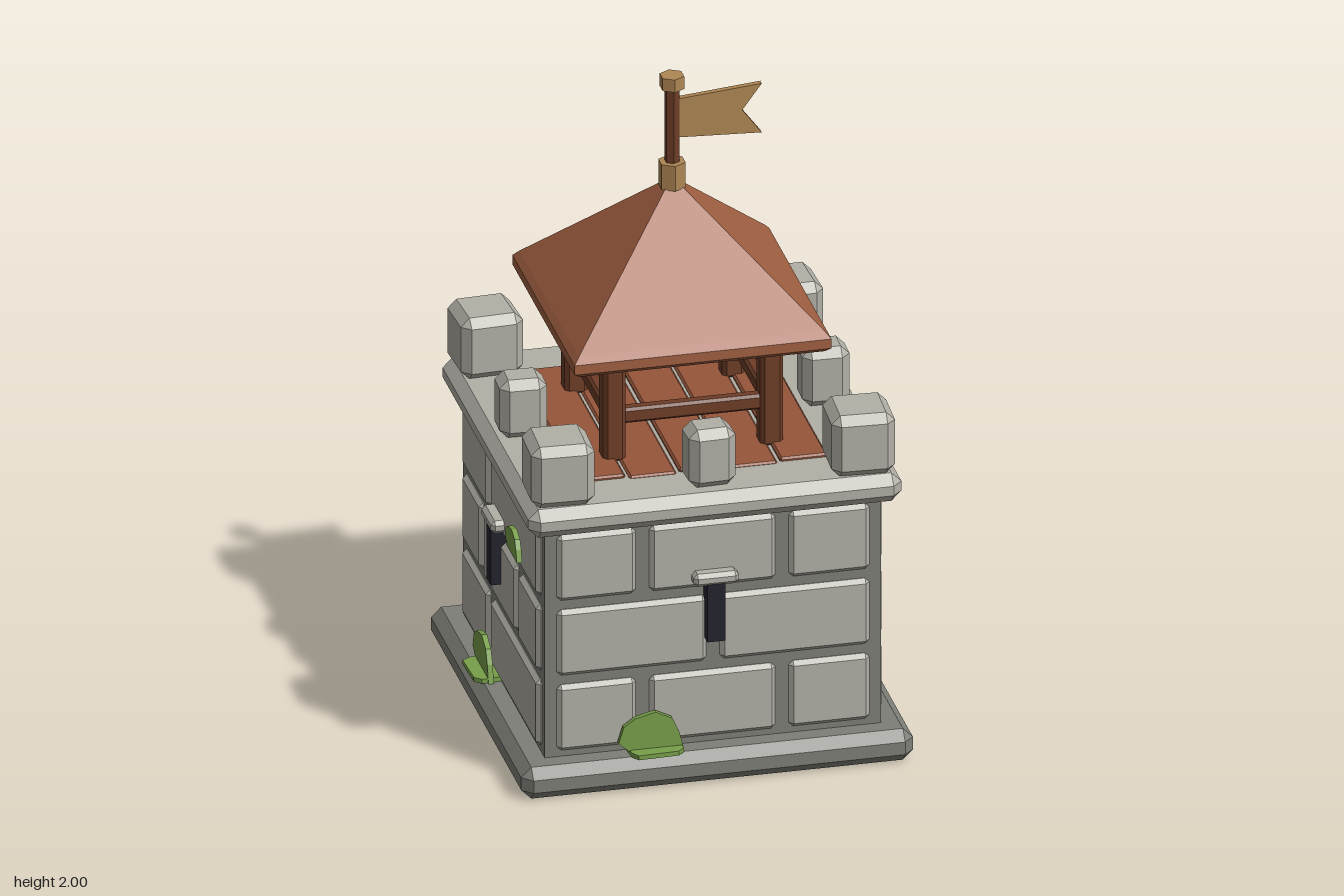
import * as THREE from 'three';
import { ConvexGeometry } from 'three/addons/geometries/ConvexGeometry.js';

const mat = (name, color) => {
  const m = new THREE.MeshStandardMaterial({ color });
  m.name = name;
  return m;
};

export function createModel() {
  const model = new THREE.Group();
  model.name = 'watchtower';

  const stone = mat('light stone', 0xb2b0a7);
  const mortar = mat('dark stone', 0x7f7f79);
  const tile = mat('roof terracotta', 0xa05f41);
  const timber = mat('dark timber', 0x6e3d27);
  const plank = mat('plank wood', 0x96553a);
  const iron = mat('dark iron', 0x23232f);
  const brass = mat('brass', 0xae8653);
  const moss = mat('moss', 0x789f4a);

  const add = (parent, name, geometry, material, x = 0, y = 0, z = 0) => {
    const mesh = new THREE.Mesh(geometry, material);
    mesh.name = name;
    mesh.position.set(x, y, z);
    parent.add(mesh);
    return mesh;
  };
  const group = (name, parent = model) => {
    const g = new THREE.Group();
    g.name = name;
    parent.add(g);
    return g;
  };

  // Box with all edges cut at an angle, flat faces
  const chamferBox = (w, h, d, b) => {
    const pts = [];
    for (const i of [-1, 1]) for (const j of [-1, 1]) for (const k of [-1, 1]) {
      const x = w / 2, y = h / 2, z = d / 2;
      pts.push(new THREE.Vector3(i * x, j * (y - b), k * (z - b)));
      pts.push(new THREE.Vector3(i * (x - b), j * y, k * (z - b)));
      pts.push(new THREE.Vector3(i * (x - b), j * (y - b), k * z));
    }
    return new ConvexGeometry(pts);
  };
  // Six-sided prism with flat faces
  const hexPrism = (r, h) => new THREE.CylinderGeometry(r, r, h, 6).toNonIndexed();
  const hex = (parent, name, r, h, material, x, y, z) => {
    const g = hexPrism(r, h);
    g.computeVertexNormals();
    return add(parent, name, g, material, x, y, z);
  };
  const polygon = (pts) => new THREE.Shape(pts.map(([x, y]) => new THREE.Vector2(x, y)));
  const slab = (shape, depth) => new THREE.ExtrudeGeometry(shape, { depth, bevelEnabled: false, curveSegments: 10 });

  // Plinth, tower body and parapet ledge
  add(model, 'plinth', chamferBox(1.165, 0.1, 1.165, 0.03), mortar, 0, 0.05, 0);
  add(model, 'towerBody', new THREE.BoxGeometry(1, 0.75, 0.76), mortar, 0, 0.465, 0.12);
  add(model, 'parapetLedge', chamferBox(1.11, 0.09, 1.11, 0.03), stone, 0, 0.865, 0);

  // Rear wall with an arched doorway
  const wall = polygon([[-0.5, 0.09], [-0.2, 0.09], [-0.2, 0.52]]);
  wall.absarc(0, 0.52, 0.2, Math.PI, 0, true);
  for (const [x, y] of [[0.2, 0.09], [0.5, 0.09], [0.5, 0.84], [-0.5, 0.84]]) wall.lineTo(x, y);
  add(model, 'doorwayWall', slab(wall, 0.24), mortar, 0, 0, -0.5);

  // Wall faces: each is a group facing local +z
  const rowY = [0.225, 0.465, 0.705];
  const twoWide = [[-0.46, -0.15], [-0.11, 0.465]];
  const sideRows = [twoWide, [[-0.46, -0.235], [-0.195, 0.19], [0.23, 0.465]], twoWide];
  const threeWide = [[-0.465, -0.23], [-0.19, 0.185], [0.225, 0.465]];
  const frontRows = [threeWide, [[-0.465, -0.02], [0.02, 0.465]], threeWide];
  const backRows = [[[-0.465, -0.33], [0.33, 0.465]], [[-0.465, -0.33], [0.33, 0.465]], [[-0.465, -0.29], [0.29, 0.465]]];

  const mossShape = [[-0.1, 0.04], [-0.085, 0.09], [-0.05, 0.115], [0.01, 0.13], [0.06, 0.105], [0.08, 0.06], [0.095, 0], [-0.055, 0]];
  const addMoss = (face, x, y, sx, sy, onPlinth = true) => {
    const patch = add(face, 'mossPatch', slab(polygon(mossShape), 0.016), moss, x, y, 0.526);
    patch.scale.set(sx, sy, 1);
    if (!onPlinth) return;
    const mat2 = polygon([[-0.07, 0], [0.085, 0], [0.09, 0.06], [0.07, 0.08], [-0.05, 0.084], [-0.065, 0.06]]);
    const g = slab(mat2, 0.014).rotateX(Math.PI / 2);
    const carpet = add(face, 'mossCarpet', g, moss, x, 0.116, 0.5);
    carpet.scale.x = sx;
  };

  const faces = {};
  for (const [name, turn, rows] of [['frontWall', 0, frontRows], ['leftWall', 1, sideRows], ['backWall', 2, backRows], ['rightWall', 3, sideRows]]) {
    const face = faces[name] = group(name);
    face.rotation.y = turn * Math.PI / 2;
    rows.forEach((row, r) => row.forEach(([a, b]) =>
      add(face, 'stoneBlock', chamferBox(b - a, 0.21, 0.04, 0.013), stone, (a + b) / 2, rowY[r], 0.495)));
    if (name === 'backWall') continue;
    // Arrow slit with a stone lintel
    add(face, 'arrowSlit', new THREE.BoxGeometry(0.054, 0.185, 0.05), iron, 0, 0.53, 0.52);
    add(face, 'slitLintel', chamferBox(0.135, 0.04, 0.06, 0.012), stone, 0, 0.637, 0.523);
  }
  addMoss(faces.frontWall, -0.19, 0.1, 1, 1);
  addMoss(faces.leftWall, 0.18, 0.1, 1, 0.92);
  addMoss(faces.rightWall, -0.11, 0.1, 1, 0.92);
  addMoss(faces.rightWall, 0.26, 0.65, 0.75, 0.6, false);
  addMoss(faces.backWall, 0.4, 0.1, 0.75, 0.8);

  // Doorway: jambs, arch stones, step and door
  const doorway = group('doorway', faces.backWall);
  for (const s of [-1, 1]) add(doorway, 'doorJamb', chamferBox(0.1, 0.42, 0.1, 0.015), stone, s * 0.26, 0.31, 0.503);
  for (let i = 0; i < 5; i++) {
    const a = Math.PI * (0.1 + i * 0.2);
    const v = add(doorway, 'archStone', chamferBox(0.085, 0.125, 0.1, 0.015), stone, 0.235 * Math.cos(a), 0.52 + 0.235 * Math.sin(a), 0.503);
    v.rotation.z = a;
  }
  add(doorway, 'doorStep', chamferBox(0.42, 0.085, 0.3, 0.018), stone, 0, 0.128, 0.395);
  for (let i = 0; i < 4; i++) {
    const x = -0.15 + i * 0.1;
    const h = Math.abs(x) > 0.1 ? 0.5 : 0.59;
    add(doorway, 'doorPlank', chamferBox(0.094, h, 0.03, 0.008), plank, x, 0.11 + h / 2, 0.27);
  }
  for (const y of [0.28, 0.48]) add(doorway, 'doorBand', new THREE.BoxGeometry(0.38, 0.035, 0.02), iron, 0, y, 0.287);
  // Brass plaque above the arch
  const plaque = hexPrism(0.072, 0.03).rotateY(Math.PI / 6).rotateX(Math.PI / 2);
  plaque.computeVertexNormals();
  add(doorway, 'plaque', plaque, brass, 0, 0.863, 0.573);

  // Battlements, each turned slightly
  const battlements = group('battlements');
  const tilt = [0.05, -0.04, 0.03, -0.05];
  let n = 0;
  for (const sx of [-1, 1]) for (const sz of [-1, 1]) {
    const m = add(battlements, 'cornerMerlon', chamferBox(0.187, 0.195, 0.187, 0.026), stone, sx * 0.447, 1.005, sz * 0.447);
    m.rotation.y = tilt[n++];
  }
  for (let i = 0; i < 4; i++) {
    const a = i * Math.PI / 2;
    const m = add(battlements, 'middleMerlon', chamferBox(0.14, 0.185, 0.122, 0.026), stone, 0.45 * Math.sin(a), 1, 0.45 * Math.cos(a));
    m.rotation.y = (i % 2 ? 0 : a) + tilt[i] * 0.8;
  }

  // Plank deck
  const deck = group('deck');
  for (let i = 0; i < 5; i++) {
    const len = 0.755 + (i % 2) * 0.02;
    add(deck, 'deckPlank', chamferBox(0.14, 0.03, len, 0.006), plank, -0.3 + i * 0.15, 0.902 + (i % 2 ? 0 : 0.004), 0);
  }

  // Timber frame carrying the roof
  const frame = group('roofFrame');
  for (const sx of [-1, 1]) {
    for (const sz of [-1, 1]) add(frame, 'post', chamferBox(0.068, 0.36, 0.068, 0.012), timber, sx * 0.234, 1.085, sz * 0.234);
    add(frame, 'sideRail', chamferBox(0.04, 0.048, 0.43, 0.008), timber, sx * 0.234, 1.045, 0);
    add(frame, 'crossRail', chamferBox(0.43, 0.048, 0.04, 0.008), timber, 0, 1.045, sx * 0.234);
  }

  // Pyramid roof with a chamfered eave
  const roofPts = [];
  for (const [h, y] of [[0.365, 1.243], [0.382, 1.258], [0.382, 1.288], [0.366, 1.307], [0.015, 1.66]])
    for (const sx of [-1, 1]) for (const sz of [-1, 1]) roofPts.push(new THREE.Vector3(sx * h, y, sz * h));
  add(model, 'roof', new ConvexGeometry(roofPts), tile);

  // Flagpole and swallow-tailed flag
  const flagpole = group('flagpole');
  hex(flagpole, 'pole', 0.022, 0.32, timber, 0, 1.82, 0);
  hex(flagpole, 'poleSocket', 0.041, 0.08, brass, 0, 1.685, 0);
  hex(flagpole, 'poleCap', 0.037, 0.04, brass, 0, 1.98, 0);
  const flag = polygon([[0.015, 1.802], [0.265, 1.79], [0.207, 1.868], [0.265, 1.947], [0.015, 1.925]]);
  add(flagpole, 'flag', slab(flag, 0.018), brass, 0, 0, -0.009);

  return model;
}
